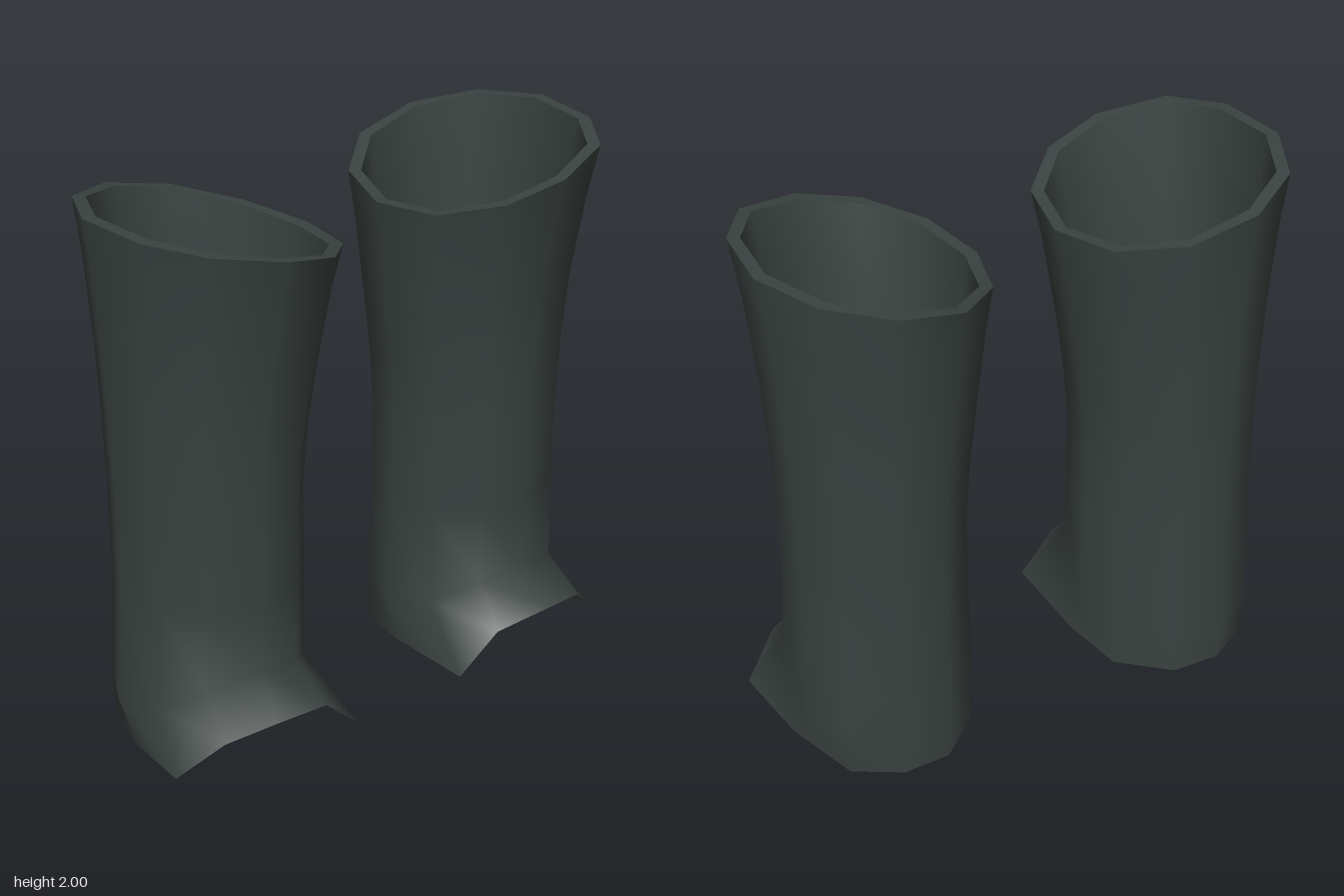
import * as THREE from 'three';

// Eleven-sided outline of the shaft seen from above, as [x, z] in -1..1
const OUTLINE = [
  [0.24, -1], [0.74, -0.72], [1, -0.21], [0.93, 0.4], [0.62, 0.82], [0.05, 1],
  [-0.48, 0.9], [-0.88, 0.53], [-1, -0.03], [-0.81, -0.59], [-0.36, -0.96],
];

// Shaft levels from ankle to top: [inner-side y, rise to outer side, xMin, xMax, zBack, zFront]
const LEVELS = [
  [0.6, 0.02, 0.26, 0.905, -0.385, 0.303],
  [0.92, 0.02, 0.265, 0.907, -0.39, 0.308],
  [1.15, 0.08, 0.245, 0.92, -0.395, 0.32],
  [1.38, 0.12, 0.215, 0.937, -0.41, 0.35],
  [1.65, 0.15, 0.18, 0.962, -0.44, 0.41],
  [1.81, 0.19, 0.15, 0.992, -0.46, 0.455],
];

// Bottom edge, arched over the instep and pointed at both sides
const HEM = [
  [0.66, 0, -0.385], [0.83, 0.005, -0.29], [0.925, 0.03, -0.02], [0.965, 0.06, 0.28],
  [0.82, 0.185, 0.37], [0.63, 0.228, 0.43], [0.4, 0.19, 0.395], [0.243, 0.045, 0.37],
  [0.25, 0.03, 0], [0.3, 0.005, -0.23], [0.48, 0, -0.38],
];

// One ring of the shaft, optionally shrunk inward
function ring([low, rise, x0, x1, zb, zf], inset = 0) {
  const cx = (x0 + x1) / 2, rx = (x1 - x0) / 2 - inset;
  const cz = (zb + zf) / 2, rz = (zf - zb) / 2 - inset;
  return OUTLINE.map(([u, v]) => {
    const t = (u + 1) / 2;
    return [cx + u * rx, low + rise * (1.35 * t - 0.35 * t * t), cz + v * rz];
  });
}

// Ankle ring, rising toward the front above the instep flare
function ankleRing() {
  return ring([0, 0, 0.253, 0.925, -0.393, 0.295]).map(([x, , z], i) =>
    [x, 0.17 + 0.19 * Math.max(0, OUTLINE[i][1]) ** 1.5, z]);
}

// Closed surface through a list of rings
function loft(rings, side) {
  const n = OUTLINE.length, pos = [], index = [];
  for (const r of rings) {
    const pts = side > 0 ? r : [...r].reverse();
    for (const [x, y, z] of pts) pos.push(side * x, y, z);
  }
  for (let k = 0; k < rings.length - 1; k++) {
    for (let i = 0; i < n; i++) {
      const a = k * n + i, b = k * n + (i + 1) % n;
      index.push(a, a + n, b + n, a, b + n, b);
    }
  }
  const g = new THREE.BufferGeometry();
  g.setAttribute('position', new THREE.Float32BufferAttribute(pos, 3));
  g.setIndex(index);
  g.computeVertexNormals();
  return g;
}

export function createModel() {
  const model = new THREE.Group();
  model.name = 'bootShafts';
  const leather = new THREE.MeshStandardMaterial({ color: 0x3a4341, side: THREE.DoubleSide });
  leather.name = 'dark grey leather';

  const top = LEVELS[5];
  const lip = ring(top, 0.045);
  const parts = {
    // Outer wall from hem to top edge
    shaft: [HEM, ankleRing(), ...LEVELS.map((l) => ring(l))],
    // Flat top edge
    rim: [ring(top), lip],
    // Lining that thins out toward the waist
    lining: [lip, ring(LEVELS[4], 0.035), ring(LEVELS[3], 0.022), ring(LEVELS[2], 0.012), ring(LEVELS[1], 0.001)],
  };

  for (const side of [1, -1]) {
    const boot = new THREE.Group();
    boot.name = side > 0 ? 'leftBoot' : 'rightBoot';
    for (const [name, rings] of Object.entries(parts)) {
      const mesh = new THREE.Mesh(loft(rings, side), leather);
      mesh.name = name;
      boot.add(mesh);
    }
    model.add(boot);
  }
  return model;
}
